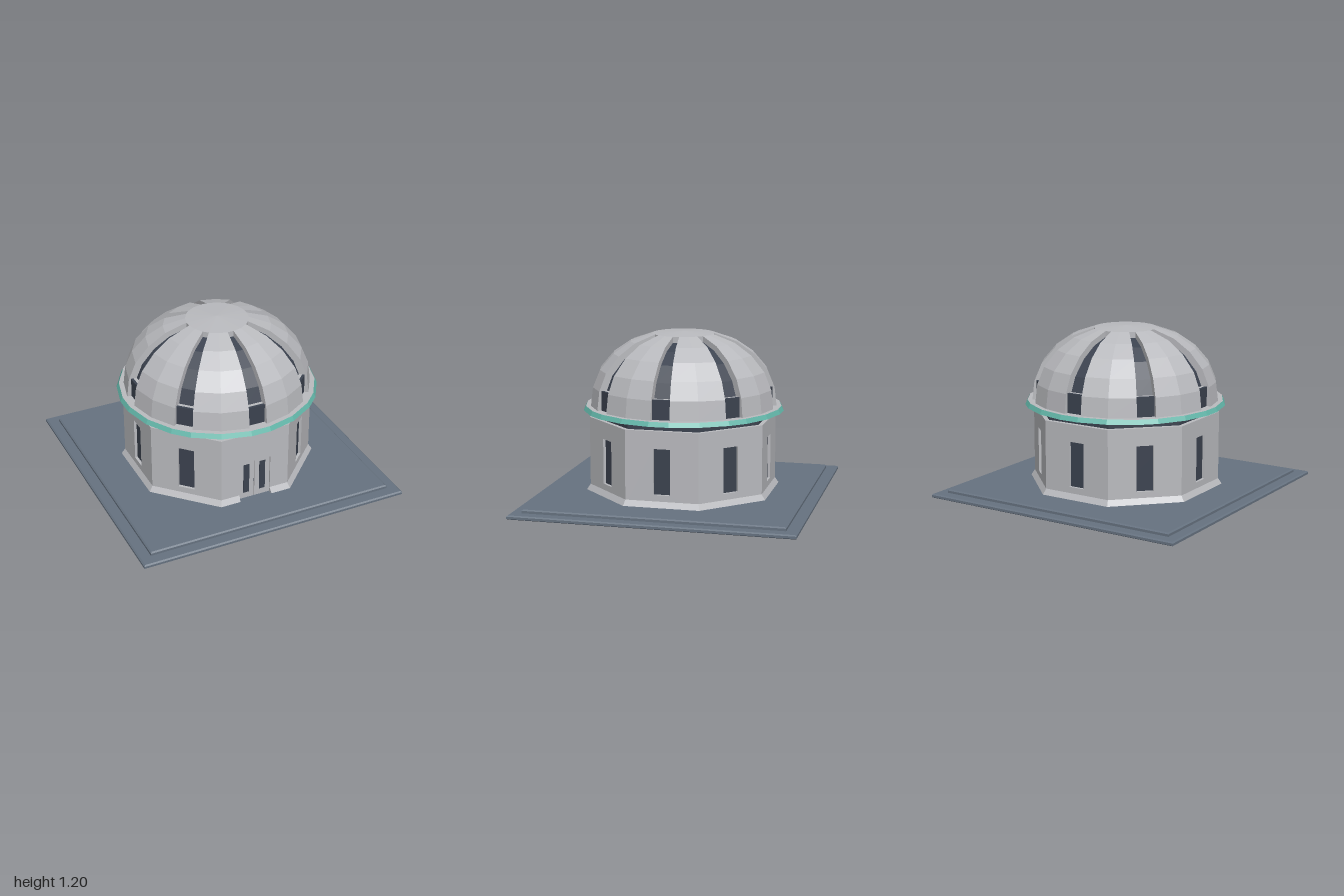
import * as THREE from 'three';

const DEG = Math.PI / 180;
const mat = (name, color) => {
  const m = new THREE.MeshStandardMaterial({ color });
  m.name = name;
  return m;
};

// Flat-faceted sweep of an [r, y] profile through a list of angles (degrees from +z).
// With sides > 0, r is the distance to the flats of a regular polygon.
function sweep(profile, angles, sides = 0) {
  const pos = [];
  const point = ([r, y], deg) => {
    let k = 1;
    if (sides) {
      const step = 360 / sides;
      k = 1 / Math.cos((deg - Math.round(deg / step) * step) * DEG);
    }
    return [r * k * Math.sin(deg * DEG), y, r * k * Math.cos(deg * DEG)];
  };
  for (let i = 0; i < angles.length - 1; i++) {
    for (let j = 0; j < profile.length - 1; j++) {
      const a = point(profile[j], angles[i]), b = point(profile[j], angles[i + 1]);
      const c = point(profile[j + 1], angles[i + 1]), d = point(profile[j + 1], angles[i]);
      if (profile[j][0] > 0) pos.push(...a, ...b, ...c);
      if (profile[j + 1][0] > 0) pos.push(...a, ...c, ...d);
    }
  }
  return toGeometry(pos);
}

function toGeometry(pos) {
  const g = new THREE.BufferGeometry();
  g.setAttribute('position', new THREE.Float32BufferAttribute(pos, 3));
  g.computeVertexNormals();
  return g;
}

// Flat end face between two matching profiles at one angle
function endFace(outer, inner, deg, flip) {
  const pos = [];
  const p = ([r, y]) => [r * Math.sin(deg * DEG), y, r * Math.cos(deg * DEG)];
  for (let j = 0; j < outer.length - 1; j++) {
    const a = p(outer[j]), b = p(outer[j + 1]), c = p(inner[j + 1]), d = p(inner[j]);
    if (flip) pos.push(...a, ...c, ...b, ...a, ...d, ...c);
    else pos.push(...a, ...b, ...c, ...a, ...c, ...d);
  }
  return toGeometry(pos);
}

const rect = (T, x0, y0, x1, y1) => {
  const s = new T();
  s.moveTo(x0, y0).lineTo(x1, y0).lineTo(x1, y1).lineTo(x0, y1).closePath();
  return s;
};

export function createModel() {
  const model = new THREE.Group();
  model.name = 'observatory';
  const stone = mat('pale stone', 0xb9babe);
  const slate = mat('slate', 0x667280);
  const dark = mat('dark glass', 0x3b424f);
  const teal = mat('teal trim', 0x62b5a8);

  const add = (name, geometry, material, parent = model) => {
    const m = new THREE.Mesh(geometry, material);
    m.name = name;
    parent.add(m);
    return m;
  };
  const box = (name, w, h, d, x, y, z, material, parent) =>
    add(name, new THREE.BoxGeometry(w, h, d), material, parent).position.set(x, y, z);

  // Square stepped base
  const square = [45, 135, 225, 315, 405];
  add('lowerSlab', sweep([[0, 0], [0.99, 0], [1, 0.006], [1, 0.022], [0.99, 0.03], [0, 0.03]], square, 4), slate);
  add('upperSlab', sweep([[0.918, 0.03], [0.918, 0.047], [0.908, 0.055], [0, 0.055]], square, 4), slate);

  // Octagonal drum: dark core behind pierced wall panels
  const octagon = Array.from({ length: 9 }, (_, i) => 22.5 + i * 45);
  add('core', sweep([[0.61, 0.05], [0.61, 0.589]], octagon, 8), dark);
  add('wallTop', sweep([[0.63, 0.59], [0.58, 0.59]], octagon, 8), stone);
  add('neck', sweep([[0.6, 0.58], [0.6, 0.645]], octagon, 8), dark);

  const half = 0.63 * Math.tan(22.5 * DEG);
  for (let i = 0; i < 8; i++) {
    let shape;
    if (i === 0) {
      shape = new THREE.Shape([
        [-half, 0.05], [-0.12, 0.05], [-0.12, 0.36], [0.12, 0.36],
        [0.12, 0.05], [half, 0.05], [half, 0.59], [-half, 0.59],
      ].map(([x, y]) => new THREE.Vector2(x, y)));
    } else {
      shape = rect(THREE.Shape, -half, 0.05, half, 0.59);
      shape.holes.push(rect(THREE.Path, -0.06, 0.14, 0.06, 0.465));
    }
    const wall = add(i ? 'windowWall' : 'doorWall',
      new THREE.ExtrudeGeometry(shape, { depth: 0.02, bevelEnabled: false }), stone);
    wall.rotation.y = i * 45 * DEG;
    wall.position.set(0.61 * Math.sin(i * 45 * DEG), 0, 0.61 * Math.cos(i * 45 * DEG));
  }

  // Flared plinth, interrupted at the door
  const doorEdge = Math.atan(0.12 / 0.64) / DEG;
  const plinthAngles = [doorEdge, ...octagon.slice(0, 8), 360 - doorEdge];
  add('plinth', sweep([[0.655, 0.055], [0.63, 0.095]], plinthAngles, 8), stone);
  for (const s of [-1, 1]) {
    const tri = s > 0
      ? [0.12, 0.055, 0.655, 0.12, 0.095, 0.63, 0.12, 0.055, 0.61]
      : [-0.12, 0.055, 0.655, -0.12, 0.055, 0.61, -0.12, 0.095, 0.63];
    add('plinthEnd', toGeometry(tri.slice()), stone).material.side = THREE.FrontSide;
  }

  // Double door
  for (const s of [-1, 1]) {
    box('doorLeaf', 0.117, 0.305, 0.01, s * 0.061, 0.2075, 0.614, stone);
    box('doorPane', 0.046, 0.235, 0.006, s * 0.062, 0.218, 0.618, dark);
  }

  // Rim: vertices follow the edges and middles of the dome panels
  const gap = 5.7;
  const ring = [];
  for (let i = 0; i < 8; i++) ring.push(i * 45 - gap, i * 45 + gap, i * 45 + 22.5);
  ring.push(360 - gap);
  add('rimUnderside', sweep([[0.57, 0.638], [0.725, 0.638]], ring), stone);
  add('rimBand', sweep([[0.725, 0.638], [0.708, 0.67]], ring), teal);
  add('rimTop', sweep([[0.708, 0.67], [0.55, 0.67]], ring), stone);

  // Dome: dark inner shell, eight raised panels and a cap
  const outer = [[0.673, 0.67], [0.657, 0.805], [0.605, 0.93], [0.507, 1.045], [0.383, 1.13], [0.225, 1.185]];
  const inner = outer.map(([r, y]) => [r * 0.92, 0.67 + (y - 0.67) * 0.93]);
  add('innerShell', sweep([...inner, [0, 1.165]], ring), dark);
  add('cap', sweep([[0.225, 1.13], [0.225, 1.185], [0, 1.2]], ring), stone);

  for (let i = 0; i < 8; i++) {
    const a0 = i * 45 + gap, a1 = i * 45 + 45 - gap;
    const panel = new THREE.Group();
    panel.name = 'domePanel';
    model.add(panel);
    add('panelFace', sweep(outer, [a0, i * 45 + 22.5, a1]), stone, panel);
    add('panelStartEdge', endFace(outer, inner, a0, false), stone, panel);
    add('panelEndEdge', endFace(outer, inner, a1, true), stone, panel);

    // Low window and ledge at the foot of each slot
    const slot = new THREE.Group();
    slot.name = 'slotWindow';
    slot.rotation.y = i * 45 * DEG;
    model.add(slot);
    box('slotPane', 0.126, 0.14, 0.018, 0, 0.74, 0.629, dark, slot);
    box('slotLedge', 0.12, 0.14, 0.03, 0, 0.74, 0.605, stone, slot);
  }
  return model;
}
